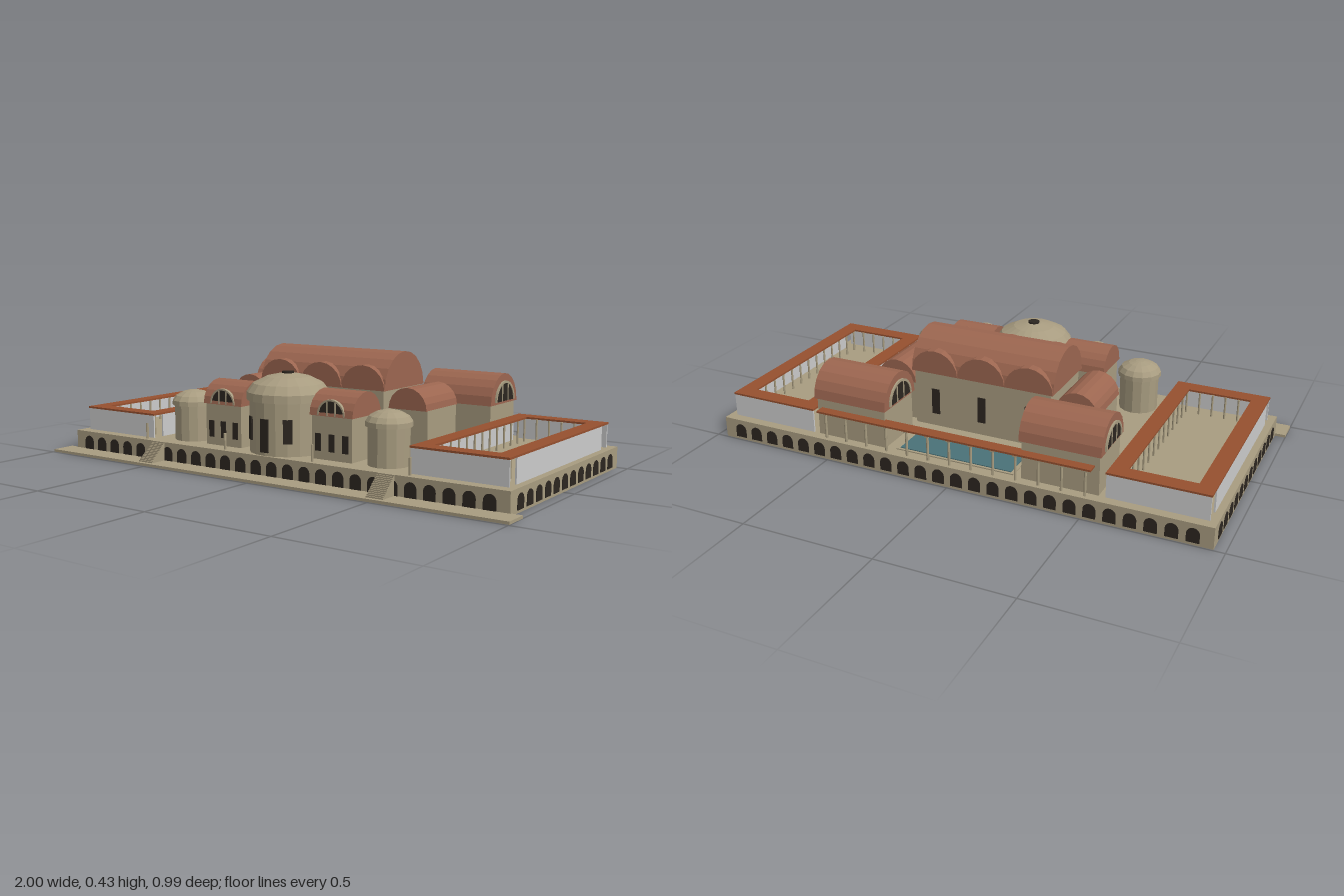
import * as THREE from 'three';

const mat = (color, extra = {}) => new THREE.MeshStandardMaterial({ color, flatShading: true, ...extra });
const M = {
  stone: mat(0xa89c80), roof: mat(0x9c6650), tile: mat(0x96502f),
  dark: mat(0x2c2620), water: mat(0x4a7178), grey: mat(0xcccccc),
};
const DECK = 0.08;

export function createModel() {
  const root = new THREE.Group();

  const add = (name, geo, material, x = 0, y = 0, z = 0, ry = 0, parent = root) => {
    const m = new THREE.Mesh(geo, material);
    m.name = name;
    m.position.set(x, y, z);
    m.rotation.y = ry;
    parent.add(m);
    return m;
  };
  // box given by its ranges
  const box = (name, material, x0, x1, y0, y1, z0, z1, parent) =>
    add(name, new THREE.BoxGeometry(x1 - x0, y1 - y0, z1 - z0), material,
      (x0 + x1) / 2, (y0 + y1) / 2, (z0 + z1) / 2, 0, parent);
  // faceted half ellipse, extruded along z and centred on it
  const vault = (r, h, len, seg = 10, inner = 0) => {
    const pts = [];
    for (let i = 0; i <= seg; i++) {
      const a = Math.PI * i / seg;
      pts.push(new THREE.Vector2(Math.cos(a) * r, Math.sin(a) * h));
    }
    if (inner) for (let i = seg; i >= 0; i--) {
      const a = Math.PI * i / seg;
      pts.push(new THREE.Vector2(Math.cos(a) * r * inner, Math.sin(a) * h * inner));
    }
    return new THREE.ExtrudeGeometry(new THREE.Shape(pts), { depth: len, bevelEnabled: false }).translate(0, 0, -len / 2);
  };
  const column = (name, x, z, y0, y1, r = 0.005, parent = root) =>
    add(name, new THREE.CylinderGeometry(r, r, y1 - y0, 8), M.stone, x, (y0 + y1) / 2, z, 0, parent);

  // semicircular window with ring and mullions, facing local +z
  const lunette = (r, x, y, z, ry) => {
    const g = new THREE.Group();
    g.name = 'lunette';
    g.position.set(x, y, z);
    g.rotation.y = ry;
    add('lunetteGlass', vault(r, r, 0.006, 12), M.dark, 0, 0, 0, 0, g);
    add('lunetteRing', vault(r * 1.12, r * 1.12, 0.012, 12, 0.89), M.stone, 0, 0, 0, 0, g);
    for (const s of [-1, 1]) box('mullion', M.stone, s * r / 3 - 0.003, s * r / 3 + 0.003, 0, r * 0.92, -0.005, 0.005, g);
    root.add(g);
  };

  // forecourt strip and hollow podium
  box('forecourt', M.stone, -1, 1, 0, 0.01, 0.4, 0.493);
  box('podiumDeck', M.stone, -0.96, 0.96, 0.068, DECK, -0.495, 0.405);
  for (const s of [-1, 1]) box('podiumSideWall', M.stone, s * 0.95 - 0.01, s * 0.95 + 0.01, 0, 0.07, -0.495, 0.405);
  box('podiumFrontWall', M.stone, -0.95, 0.95, 0, 0.07, 0.385, 0.405);
  box('podiumBackWall', M.stone, -0.95, 0.95, 0, 0.07, -0.495, -0.475);

  // podium arches
  const archShape = new THREE.Shape();
  archShape.moveTo(-0.023, 0.01).lineTo(0.023, 0.01).lineTo(0.023, 0.04);
  archShape.absarc(0, 0.04, 0.023, 0, Math.PI, false);
  const arch = new THREE.ExtrudeGeometry(archShape, { depth: 0.024, bevelEnabled: false, curveSegments: 8 }).translate(0, 0, -0.012);
  for (let i = 0; i < 26; i++) {
    const x = -0.89 + i * 0.0712;
    add('frontArch', arch, M.dark, x, 0, 0.395);
    add('backArch', arch, M.dark, x, 0, -0.485);
  }
  for (let i = 0; i < 12; i++) for (const s of [-1, 1])
    add('sideArch', arch, M.dark, s * 0.95, 0, 0.334 - i * 0.0687, Math.PI / 2);

  // entrance stairs
  for (const s of [-1, 1]) for (let i = 0; i < 14; i++)
    box('stair', M.stone, s * 0.512 - 0.033, s * 0.512 + 0.033, 0.005, DECK - i * 0.005, 0.403 + i * 0.0052, 0.403 + (i + 1) * 0.0052);

  // two colonnaded exercise courts
  for (const s of [-1, 1]) {
    const g = new THREE.Group();
    g.name = s > 0 ? 'leftCourt' : 'rightCourt';
    g.position.x = s * 0.755;
    root.add(g);
    for (const t of [-1, 1]) {
      const d = t * 0.176;
      box('courtSideWall', M.grey, d - 0.003, d + 0.003, DECK, 0.168, -0.4, 0.31, g);
      const c = t * 0.15;
      box('sidePorticoRoof', M.tile, c - 0.03, c + 0.03, 0.167, 0.174, -0.46, 0.363, g);
      const zw = t > 0 ? 0.357 : -0.455;
      box('courtEndWall', M.grey, -0.178, 0.178, DECK, 0.168, zw - 0.003, zw + 0.003, g);
      const zc = t > 0 ? 0.333 : -0.43;
      box('endPorticoRoof', M.tile, -0.12, 0.12, 0.167, 0.174, zc - 0.03, zc + 0.03, g);
      for (let i = 0; i < 13; i++) column('courtColumn', t * 0.125, -0.395 + i * 0.0578, DECK, 0.168, 0.004, g);
      for (let i = 1; i < 5; i++) column('courtColumn', -0.125 + i * 0.05, t > 0 ? 0.3 : -0.395, DECK, 0.168, 0.004, g);
    }
  }

  // domed round hall: radius, dome radius, eave height, apex height
  const rotunda = (name, x, z, r, R, eave, top, sides) => {
    add(name + 'Drum', new THREE.CylinderGeometry(r, r, eave - DECK, sides), M.stone, x, (DECK + eave) / 2, z);
    const h = top - eave;
    const profile = [[r * 0.9, 0], [R, 0], [R * 0.99, 0.3], [R * 0.84, 0.62], [R * 0.52, 0.87], [R * 0.2, 0.98], [0, 1]]
      .map(([a, b]) => new THREE.Vector2(a, b * h));
    add(name + 'Dome', new THREE.LatheGeometry(profile, sides), M.stone, x, eave, z);
  };
  rotunda('mainRotunda', 0, 0.258, 0.141, 0.152, 0.27, 0.365, 20);
  add('oculus', new THREE.CylinderGeometry(0.022, 0.022, 0.008, 16), M.dark, 0, 0.366, 0.258);
  for (let i = -1; i <= 1; i++) {
    const a = i * 0.63;
    add('rotundaWindow', new THREE.BoxGeometry(0.034, i ? 0.085 : 0.12, 0.012), M.dark,
      Math.sin(a) * 0.138, i ? 0.17 : 0.152, 0.258 + Math.cos(a) * 0.138, a);
  }

  for (const s of [-1, 1]) {
    rotunda('smallRotunda', s * 0.442, 0.275, 0.074, 0.083, 0.215, 0.272, 14);

    // front pavilions with cross-ridge vault
    const px = s * 0.245;
    box('pavilionWalls', M.stone, px - 0.084, px + 0.084, DECK, 0.236, 0.167, 0.333);
    add('pavilionRoof', vault(0.09, 0.086, 0.18), M.roof, px, 0.235, 0.25, Math.PI / 2);
    lunette(0.052, px, 0.237, 0.335, 0);
    for (let i = -1; i <= 1; i++)
      box('pavilionWindow', M.dark, px + i * 0.057 - 0.012, px + i * 0.057 + 0.012, 0.11, 0.172, 0.325, 0.336);

    // side annexes of the great hall
    const ax = s * 0.365;
    box('annexWalls', M.stone, ax - 0.076, ax + 0.08, DECK, 0.232, -0.19, 0.02);
    add('annexRoof', vault(0.08, 0.08, 0.226), M.roof, ax, 0.231, -0.085);

    // rear pavilions
    const bx = s * 0.411;
    box('rearPavilionWalls', M.stone, bx - 0.142, bx + 0.142, DECK, 0.228, -0.457, -0.26);
    add('rearPavilionRoof', vault(0.109, 0.115, 0.298), M.roof, bx, 0.226, -0.358, Math.PI / 2);
    for (const t of [-1, 1]) lunette(0.069, bx + t * 0.15, 0.235, -0.358, Math.PI / 2);
  }

  // great hall with three cross vaults
  box('hallWalls', M.stone, -0.275, 0.275, DECK, 0.298, -0.215, 0.048);
  add('hallRoof', vault(0.139, 0.136, 0.57), M.roof, 0, 0.295, -0.083, Math.PI / 2);
  for (let i = -1; i <= 1; i++) {
    add('hallCrossVault', vault(0.095, 0.09, 0.282), M.roof, i * 0.19, 0.295, -0.083);
    box('hallBackWindow', M.dark, i * 0.19 - 0.016, i * 0.19 + 0.016, 0.13, 0.23, -0.218, -0.21);
  }

  // pool and rear colonnade
  box('poolRim', M.stone, -0.235, 0.23, DECK, 0.084, -0.45, -0.285);
  box('poolWater', M.water, -0.222, 0.217, DECK, 0.087, -0.44, -0.295);
  box('colonnadeRoof', M.tile, -0.535, 0.535, 0.183, 0.19, -0.495, -0.448);
  for (let i = 0; i < 13; i++) {
    const x = -0.51 + i * 0.085;
    column('colonnadeColumn', x, -0.476, DECK, 0.183);
    box('columnCapital', M.stone, x - 0.008, x + 0.008, 0.172, 0.184, -0.484, -0.468);
  }

  // posts along the front edge
  for (const x of [-0.59, -0.197, 0.197, 0.59]) column('frontPost', x, 0.382, DECK, 0.14, 0.005);

  return root;
}
